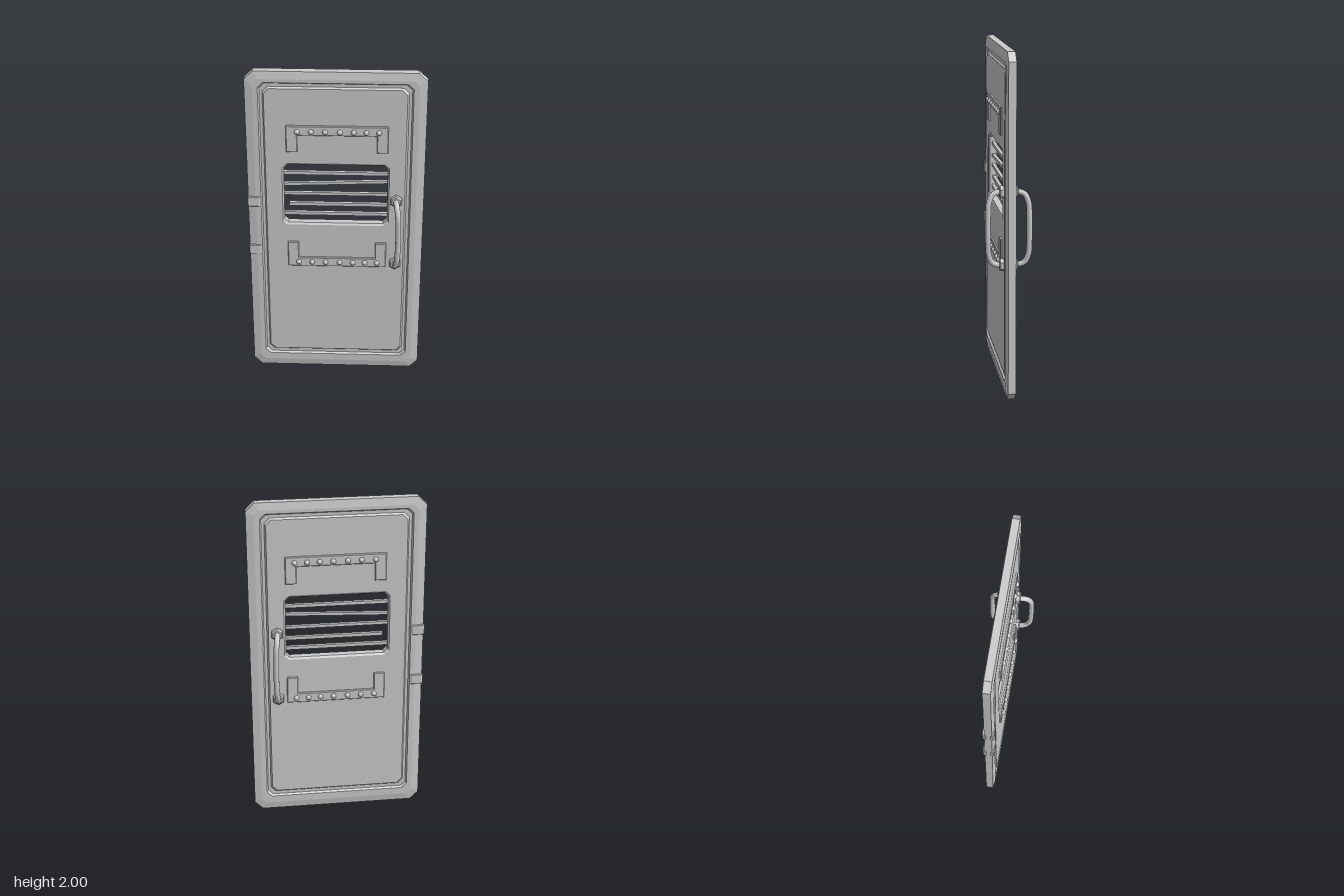
import * as THREE from 'three';

const material = new THREE.MeshStandardMaterial({ color: 0xcccccc, flatShading: true });
const smooth = new THREE.MeshStandardMaterial({ color: 0xcccccc });

function add(parent, name, geometry, x = 0, y = 0, z = 0, mat = material) {
  const mesh = new THREE.Mesh(geometry, mat);
  mesh.name = name;
  mesh.position.set(x, y, z);
  parent.add(mesh);
  return mesh;
}

// Rectangle with cut corners, counter-clockwise
function cutRect([x0, x1, y0, y1, c, z]) {
  return [[x0 + c, y0], [x1 - c, y0], [x1, y0 + c], [x1, y1 - c],
    [x1 - c, y1], [x0 + c, y1], [x0, y1 - c], [x0, y0 + c]].map(([x, y]) => [x, y, z]);
}

// Closed door skin: rings run over the front, through the window and back around
function doorGeometry() {
  const front = [
    [-0.51, 0.515, 0, 2, 0.05, 0.022],           // outer edge
    [-0.465, 0.47, 0.045, 1.955, 0.03, 0.03],    // rim bevel
    [-0.435, 0.438, 0.09, 1.935, 0.03, 0.03],    // groove, outer lip
    [-0.427, 0.43, 0.099, 1.927, 0.03, 0.018],
    [-0.41, 0.413, 0.12, 1.908, 0.03, 0.018],    // groove, inner lip
    [-0.402, 0.404, 0.129, 1.898, 0.03, 0.028],
    [-0.308, 0.313, 1.025, 1.435, 0.025, 0.028], // window bevel
    [-0.298, 0.303, 1.037, 1.423, 0.022, 0.02],
  ];
  const back = front.map((r) => [...r.slice(0, 5), -r[5]]).reverse();
  const rings = [...front, ...back].map(cutRect);
  const pos = [];
  rings.forEach((ring, i) => {
    const next = rings[(i + 1) % rings.length];
    for (let j = 0; j < 8; j++) {
      const k = (j + 1) % 8;
      const [a, b, c, d] = [ring[j], ring[k], next[k], next[j]];
      pos.push(...a, ...b, ...c, ...a, ...c, ...d);
    }
  });
  const g = new THREE.BufferGeometry();
  g.setAttribute('position', new THREE.Float32BufferAttribute(pos, 3));
  g.computeVertexNormals();
  return g;
}

// U-shaped strap; dir -1 has legs hanging down, +1 has legs pointing up
function strapGeometry(dir) {
  const w = 0.292, t = 0.065;
  const pts = [[-w, 0], [w, 0], [w, 0.166], [w - t, 0.166], [w - t, 0.06], [-w + t, 0.06], [-w + t, 0.166], [-w, 0.166]];
  const shape = new THREE.Shape(pts.map(([x, y]) => new THREE.Vector2(x, y * dir)));
  return new THREE.ExtrudeGeometry(shape, {
    depth: 0.018, bevelEnabled: true, bevelSize: 0.004, bevelThickness: 0.004, bevelOffset: -0.004, bevelSegments: 1,
  });
}

// Clip section in x and z, extruded along y
function clipGeometry() {
  const shape = new THREE.Shape([[-0.515, -0.03], [-0.505, -0.036], [-0.45, -0.036], [-0.438, -0.03],
    [-0.438, -0.012], [-0.515, -0.012]].map(([x, y]) => new THREE.Vector2(x, y)));
  const g = new THREE.ExtrudeGeometry(shape, {
    depth: 0.056, bevelEnabled: true, bevelSize: 0.004, bevelThickness: 0.004, bevelOffset: -0.004, bevelSegments: 1,
  });
  return g.translate(0, 0, -0.028).rotateX(-Math.PI / 2);
}

// Fittings on one face of the door
function buildSide(name, isFront) {
  const side = new THREE.Group();
  side.name = name;
  const s = isFront ? 1 : -1;

  // Riveted straps
  const dome = new THREE.SphereGeometry(0.016, 12, 6, 0, Math.PI * 2, 0, Math.PI / 2).rotateX(s * Math.PI / 2);
  const shank = new THREE.CylinderGeometry(0.016, 0.016, 0.01, 12).rotateX(Math.PI / 2);
  for (const [label, y, dir, rivetY] of [['upper', 1.675, -1, 1.64], ['lower', 0.745, 1, 0.775]]) {
    add(side, label + 'Strap', strapGeometry(dir), 0.01, y, isFront ? 0.018 : -0.036);
    for (const x of [-0.218, -0.138, -0.058, 0.026, 0.104, 0.176, 0.248]) {
      add(side, 'rivetBase', shank, x, rivetY, s * 0.039, smooth);
      add(side, 'rivetHead', dome, x, rivetY, s * 0.043, smooth).scale.z = 0.8;
    }
  }

  // Grab handle with hexagonal nuts
  const path = new THREE.CatmullRomCurve3([
    [0.354, 1.2, 0.03], [0.355, 1.2, 0.06], [0.36, 1.186, 0.092], [0.366, 1.14, 0.113], [0.37, 1.07, 0.118],
    [0.37, 0.91, 0.118], [0.366, 0.836, 0.113], [0.36, 0.79, 0.092], [0.355, 0.776, 0.06], [0.354, 0.776, 0.03],
  ].map(([x, y, z]) => new THREE.Vector3(x, y, s * z)));
  add(side, 'handle', new THREE.TubeGeometry(path, 48, 0.0165, 10), 0, 0, 0, smooth);
  const nut = new THREE.LatheGeometry([[0, -0.015], [0.037, -0.015], [0.037, 0.01], [0.029, 0.016], [0, 0.016]]
    .map(([r, y]) => new THREE.Vector2(r, y)), 6).rotateX(s * Math.PI / 2);
  for (const y of [1.2, 0.776]) add(side, 'handleNut', nut, 0.355, y, s * 0.037);

  // Edge clips
  for (const y of [1.178, 0.852]) {
    const clip = add(side, 'edgeClip', clipGeometry(), 0, y, 0);
    if (!isFront) clip.rotation.x = Math.PI;
  }
  return side;
}

export function createModel() {
  const model = new THREE.Group();
  model.name = 'door';
  add(model, 'doorPanel', doorGeometry());

  // Window bars: left x, left y, right y, height
  const bars = [[-0.305, 1.36, 1.36, 0.02], [-0.305, 1.285, 1.31, 0.018], [-0.305, 1.225, 1.225, 0.018],
    [-0.27, 1.155, 1.155, 0.02], [-0.305, 1.092, 1.092, 0.02]];
  for (const [x, y0, y1, h] of bars) {
    const length = 0.31 - x;
    const bar = add(model, 'windowBar', new THREE.BoxGeometry(length, h, 0.02), x + length / 2, (y0 + y1) / 2, 0);
    bar.rotation.z = Math.atan2(y1 - y0, length);
  }

  model.add(buildSide('frontFittings', true), buildSide('backFittings', false));
  return model;
}
